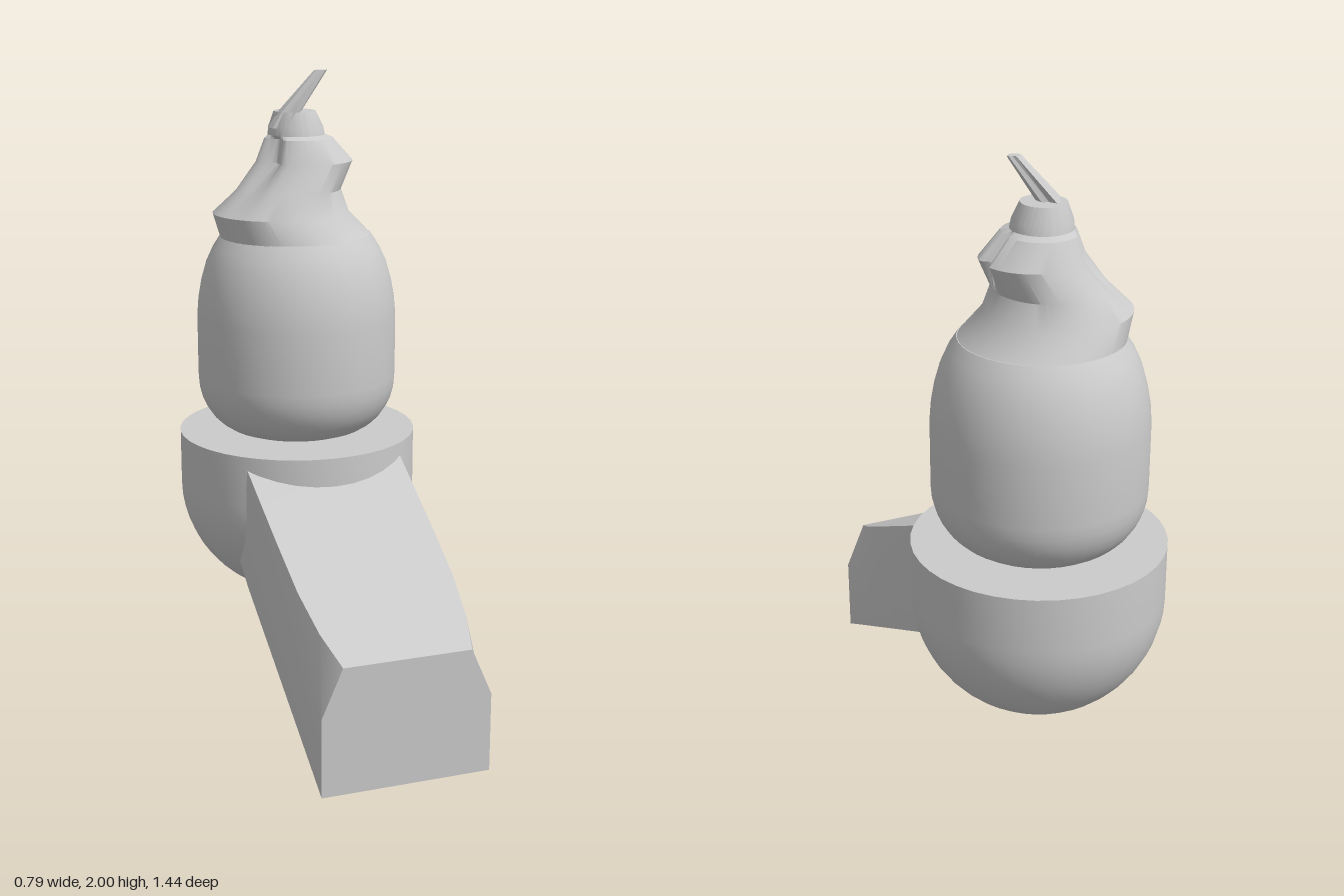
import * as THREE from 'three';
import { toCreasedNormals } from 'three/addons/utils/BufferGeometryUtils.js';

const CZ = -0.325; // axis of the bowl, bulb and flame

// Skin a stack of equal-length rings of [x, y, z] points, with end caps
function loft(rings) {
  const n = rings[0].length, pos = rings.flat(2), idx = [];
  for (let i = 0; i < rings.length - 1; i++) {
    for (let j = 0; j < n; j++) {
      const k = (j + 1) % n;
      const a = i * n + j, b = i * n + k, c = a + n, d = b + n;
      idx.push(a, c, b, b, c, d);
    }
  }
  [rings[0], rings[rings.length - 1]].forEach((ring, end) => {
    const centre = pos.length / 3, base = end * (rings.length - 1) * n;
    for (let k = 0; k < 3; k++) pos.push(ring.reduce((s, p) => s + p[k], 0) / n);
    for (let j = 0; j < n; j++) {
      const a = base + j, b = base + (j + 1) % n;
      if (end) idx.push(centre, b, a); else idx.push(centre, a, b);
    }
  });
  const g = new THREE.BufferGeometry();
  g.setAttribute('position', new THREE.Float32BufferAttribute(pos, 3));
  g.setIndex(idx);
  return g;
}

export function createModel() {
  const group = new THREE.Group();
  const material = new THREE.MeshStandardMaterial({ color: 0xcccccc });
  const add = (name, geometry, crease = 0.6) => {
    const mesh = new THREE.Mesh(toCreasedNormals(geometry, crease), material);
    mesh.name = name;
    group.add(mesh);
    return mesh;
  };
  const lathe = (pts) => new THREE.LatheGeometry(pts.map(([r, y]) => new THREE.Vector2(r, y)), 40);

  // Bowl: hemisphere with a short straight wall and a flat lid
  const bowl = [];
  for (let i = 0; i <= 14; i++) {
    const a = (i / 14) * Math.PI / 2;
    bowl.push([0.395 * Math.sin(a), 0.635 - 0.395 * Math.cos(a)]);
  }
  bowl.push([0.395, 0.81], [0, 0.81]);
  add('bowl', lathe(bowl)).position.z = CZ;

  // Bulb: rounded foot, straight sides, sloping shoulder
  const bulb = [[0, 0.805], [0.17, 0.81]];
  for (let i = 1; i <= 8; i++) {
    const a = (i / 8) * Math.PI / 2;
    bulb.push([0.17 + 0.16 * Math.sin(a), 1.0 - 0.19 * Math.cos(a)]);
  }
  bulb.push([0.33, 1.1], [0.33, 1.2], [0.325, 1.26], [0.314, 1.32], [0.297, 1.38],
    [0.274, 1.43], [0.248, 1.47], [0, 1.47]);
  add('bulb', lathe(bulb)).position.z = CZ;

  // Flame: lopsided rings, slotted on the +x side and pleated on the -x side
  const N = 80;
  const flameRings = [ // y, xMin, xMax, half depth, slot, pleat
    [1.465, -0.25, 0.25, 0.248, 0, 0],
    [1.545, -0.275, 0.172, 0.215, 0, 0],
    [1.62, -0.2, 0.145, 0.178, 0, 0.08],
    [1.71, -0.135, 0.187, 0.157, 0.3, 0.25],
    [1.785, -0.105, 0.12, 0.12, 0.2, 0.25],
    [1.795, -0.09, 0.095, 0.095, 0, 0],
    [1.82, -0.088, 0.09, 0.09, 0, 0],
    [1.87, -0.07, 0.065, 0.072, 0, 0],
  ].map(([y, x0, x1, hz, slot, pleat]) => Array.from({ length: N }, (_, j) => {
    const t = (j / N) * Math.PI * 2;
    const fromRight = Math.min(t, Math.PI * 2 - t), fromLeft = Math.PI - fromRight;
    let s = 1;
    if (fromRight < 0.2) s -= slot * (1 - fromRight / 0.2);
    if (fromLeft < 0.94) s -= pleat * (0.5 - 0.5 * Math.cos(fromLeft * 20 / 3));
    return [(x0 + x1) / 2 + s * Math.cos(t) * (x1 - x0) / 2, y, CZ + s * Math.sin(t) * hz];
  }));
  add('flame', loft(flameRings), 0.5);

  // Leaning, fluted flame tip
  const tipRings = [ // y, centre x, centre z, half width, half depth
    [1.82, -0.055, -0.315, 0.04, 0.06],
    [1.87, -0.025, -0.308, 0.04, 0.055],
    [2.0, 0.073, -0.285, 0.022, 0.016],
  ].map(([y, x, z, hx, hz]) => Array.from({ length: 12 }, (_, j) => {
    const t = (j / 12) * Math.PI * 2, s = j % 3 === 1 ? 0.72 : 1;
    return [x + s * hx * Math.cos(t), y, z + s * hz * Math.sin(t)];
  }));
  add('flameTip', loft(tipRings), 0.3);

  // Arm: sloping box whose top corners are bevelled at the wall end
  const W = 0.265;
  const armRings = [ // z, bottom, top, bevel width, bevel height
    [0.72, 0, 0.4, 0.065, 0.15],
    [0.6, 0.06, 0.458, 0.035, 0.15],
    [0.45, 0.134, 0.531, 0.017, 0.13],
    [0.25, 0.233, 0.629, 0.01, 0.1],
    [-0.03, 0.371, 0.765, 0.004, 0.06],
    [-0.15, 0.45, 0.79, 0.004, 0.05],
  ].map(([z, b, t, bw, bh]) => [
    [W, b, z], [W, t - bh, z], [W - bw, t, z], [-W + bw, t, z], [-W, t - bh, z], [-W, b, z],
  ]);
  add('arm', loft(armRings), 0.45);

  return group;
}
